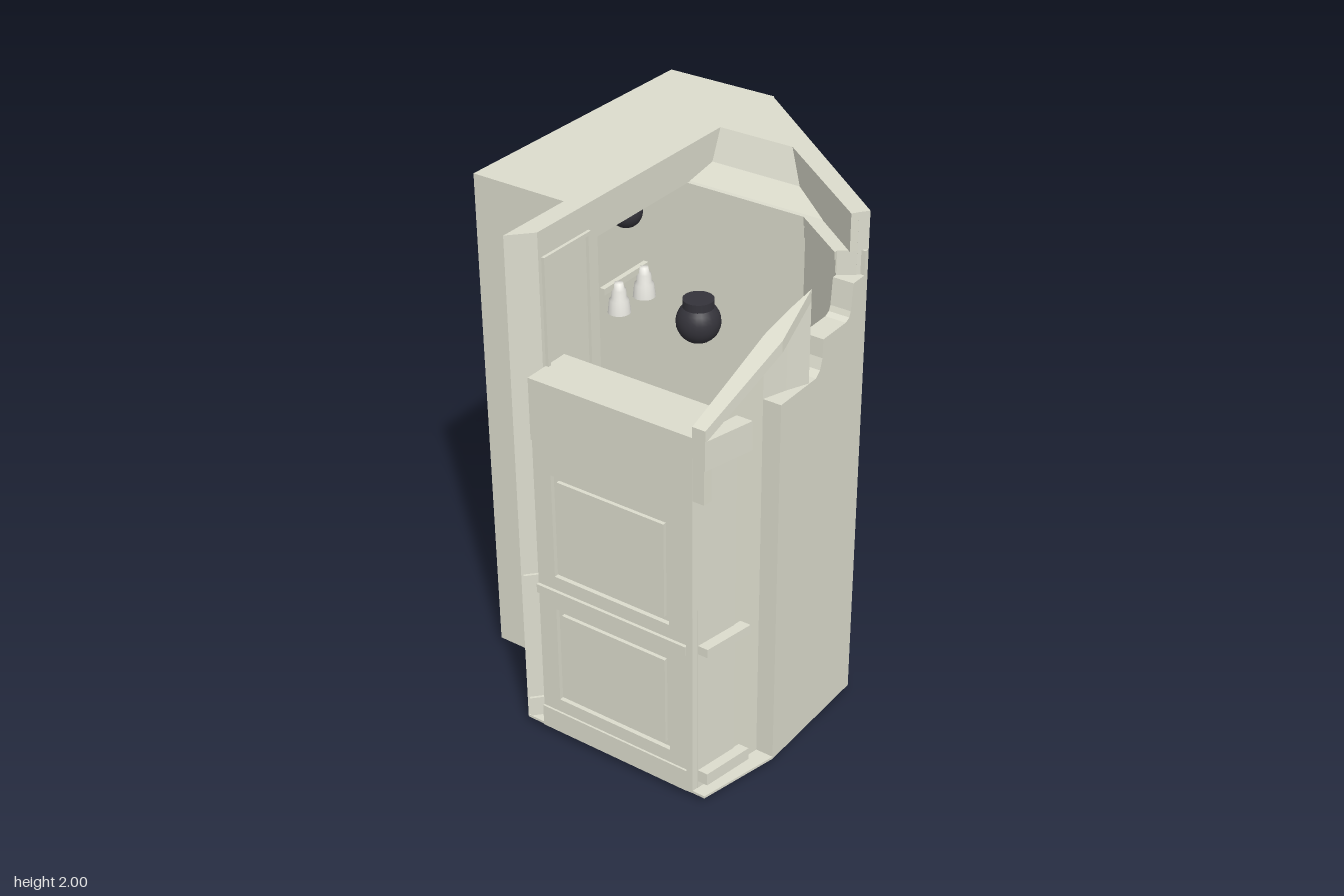
import * as THREE from 'three';

const mat = (name, color) => Object.assign(
  new THREE.MeshStandardMaterial({ color, side: THREE.DoubleSide }), { name });

export function createModel() {
  const model = new THREE.Group();
  const stone = mat('warmGrey', 0xdcdccd);
  const dark = mat('darkMetal', 0x34333a);
  const shadeMat = mat('lampWhite', 0xeeede6);

  const add = (name, geo, parent = model, m = stone) => {
    const mesh = new THREE.Mesh(geo, m);
    mesh.name = name;
    parent.add(mesh);
    return mesh;
  };
  // box given by its two corners
  const box = (name, x0, x1, y0, y1, z0, z1, parent, m) => {
    const mesh = add(name, new THREE.BoxGeometry(x1 - x0, y1 - y0, z1 - z0), parent, m);
    mesh.position.set((x0 + x1) / 2, (y0 + y1) / 2, (z0 + z1) / 2);
    return mesh;
  };
  const shapeOf = pts => new THREE.Shape(pts.map(p => new THREE.Vector2(p[0], p[1])));
  const extrude = (shape, depth) =>
    new THREE.ExtrudeGeometry(shape, { depth, bevelEnabled: false, curveSegments: 16 });
  // vertical prism over an x,z outline
  const prism = (name, pts, y0, y1, parent) => {
    const geo = extrude(shapeOf(pts.map(([x, z]) => [x, -z])), y1 - y0);
    geo.rotateX(-Math.PI / 2).translate(0, y0, 0);
    return add(name, geo, parent);
  };
  const rect = (x0, y0, x1, y1) => [[x0, y0], [x1, y0], [x1, y1], [x0, y1]];
  // flat rectangular moulding facing +z
  const frame = (name, x0, x1, y0, y1, w, parent, z = 0, d = 0.006) => {
    const s = shapeOf(rect(x0, y0, x1, y1));
    s.holes.push(shapeOf(rect(x0 + w, y0 + w, x1 - w, y1 - w)));
    return add(name, extrude(s, d).translate(0, 0, z), parent);
  };
  // surface through rows of points
  const loft = (name, rows) => {
    const n = rows[0].length, pos = [];
    for (let i = 0; i < rows.length - 1; i++) for (let j = 0; j < n - 1; j++) {
      const a = rows[i][j], b = rows[i + 1][j], c = rows[i + 1][j + 1], d = rows[i][j + 1];
      pos.push(...a, ...b, ...c, ...a, ...c, ...d);
    }
    const geo = new THREE.BufferGeometry();
    geo.setAttribute('position', new THREE.Float32BufferAttribute(pos, 3));
    geo.computeVertexNormals();
    return add(name, geo);
  };

  // Floor and the skirt hanging below it
  prism('floor', [[-0.63, -0.735], [-0.165, -0.735], [0.63, -0.1], [0.63, 0.42],
    [0.55, 0.735], [-0.24, 0.735], [-0.24, 0.42], [-0.63, 0.42]], 0.03, 0.04);
  box('floorSkirt', -0.243, -0.24, 0, 0.03, -0.735, 0.42);

  // Solid mass behind the room, stepped back near the top
  const outer = [[-0.63, -0.735], [-0.165, -0.735], [-0.19, -0.704], [0.605, -0.069]];
  prism('backWall', [...outer, [0.55, -0.03], [0.32, -0.2], [-0.63, -0.2]], 0.03, 1.86);
  prism('upperBackWall', [...outer, [0.59, -0.045], [0.14, -0.39], [-0.63, -0.39]], 1.86, 2);
  loft('cornice', [[1.862, -0.2, 0.388], [1.885, -0.34, 0.205], [2, -0.39, 0.14]]
    .map(([y, z, x]) => [[-0.165, y, z], [x, y, z]]));
  [[1.83, 1.86, 0.015], [1.78, 1.83, 0.008]].forEach(([y0, y1, d]) =>
    prism('corniceStrip', [[-0.165, -0.21], [0.32, -0.21], [0.55, -0.04], [0.55, -0.03 + d],
      [0.32, -0.2 + d], [-0.165, -0.2 + d]], y0, y1));

  // Left block: hollow alcove under a thick cap
  prism('alcoveCap', rect(-0.63, -0.39, -0.165, 0.42), 1.86, 2);
  box('alcoveSide', -0.63, -0.6, 0.03, 1.86, -0.2, 0.42);
  box('alcoveFront', -0.63, -0.2, 0.03, 1.86, 0.36, 0.42);
  prism('leftPier', [[-0.24, 0.34], [-0.165, 0.34], [-0.165, 0.655], [-0.24, 0.735]], 0.03, 2);
  [[0.03, 0.12], [0.625, 0.67]].forEach(([y0, y1]) =>
    prism('pierMoulding', [[-0.24, 0.72], [-0.228, 0.737], [-0.165, 0.67], [-0.18, 0.65]], y0, y1));
  const leftPanel = new THREE.Group();
  leftPanel.name = 'leftWallPanel';
  leftPanel.position.x = -0.165;
  leftPanel.rotation.y = Math.PI / 2;
  model.add(leftPanel);
  frame('leftWallFrame', -0.64, -0.39, 0.75, 1.905, 0.014, leftPanel, 0, 0.012);
  box('towelRail', -0.165, -0.145, 0.9, 0.93, 0.34, 0.63);

  // Front wall: a skin with two recessed openings, each holding a raised panel
  prism('frontWall', [[-0.165, 0.54], [0.54, 0.54], [0.505, 0.713], [-0.165, 0.713]], 0.03, 1.5);
  const front = shapeOf(rect(-0.165, 0.03, 0.5, 1.26));
  [[0.72, 1.14], [0.175, 0.58]].forEach(([y0, y1]) => {
    front.holes.push(shapeOf(rect(-0.09, y0, 0.4, y1)));
    box('frontPanel', -0.068, 0.378, y0 + 0.022, y1 - 0.022, 0.71, 0.727);
  });
  add('frontSkin', extrude(front, 0.018).translate(0, 0, 0.712));
  box('frontLedge', -0.165, 0.5, 1.26, 1.5, 0.7, 0.737);
  box('frontChairRail', -0.165, 0.475, 0.63, 0.665, 0.72, 0.742);
  box('frontBaseboard', -0.165, 0.475, 0.03, 0.12, 0.72, 0.738);
  box('frontStile', 0.475, 0.5, 0.03, 1.26, 0.72, 0.736);

  // Right wall with its stepped top
  const stepped = [[-0.1, 0.03], [0.42, 0.03], [0.42, 1.51], [0.21, 1.51], [0.185, 1.53], [0.172, 1.57],
    [0.17, 1.64], [0.03, 1.64], [0.008, 1.65], [0, 1.67], [-0.01, 1.77], [-0.08, 1.77], [-0.08, 1.86], [-0.1, 1.86]];
  add('rightWall', extrude(shapeOf(stepped.map(([z, y]) => [-z, y])), 0.08)
    .rotateY(Math.PI / 2).translate(0.55, 0, 0));

  // Curved front corner under a sloping plank
  const curve = [[0.5, 0.735], [0.53, 0.58], [0.56, 0.42], [0.592, 0.33], [0.628, 0.25]];
  const slope = z => 1.54 + (0.735 - z) * 0.66;
  loft('curvedCorner', curve.map(([x, z]) => [[x, 0.03, z], [x, slope(z) - 0.01, z]]));
  const plank = prism('slopingPlank', [...curve, [0.63, 0.42], [0.55, 0.735]], -0.045, 0);
  const pp = plank.geometry.attributes.position;
  for (let i = 0; i < pp.count; i++) pp.setY(i, pp.getY(i) + slope(pp.getZ(i)));
  plank.geometry.computeVertexNormals();
  [[0.07, 0.12], [0.63, 0.665]].forEach(([y0, y1]) =>
    prism('cornerMoulding', [[0.505, 0.71], [0.545, 0.71], [0.585, 0.51], [0.535, 0.51]], y0, y1));
  prism('cornerCapital', [[0.5, 0.735], [0.55, 0.735], [0.6, 0.54], [0.54, 0.54]], 1.39, 1.5);
  prism('cornerBlock', [[0.5, 0.735], [0.545, 0.735], [0.55, 0.7], [0.5, 0.7]], 1.26, 1.39);

  // Diagonal wall: local x runs along it, local z points outwards
  const diagonal = new THREE.Group();
  diagonal.name = 'diagonalWall';
  diagonal.position.set(0.63, 0, -0.1);
  diagonal.rotation.y = Math.atan2(0.624, -0.781);
  model.add(diagonal);
  const skin = shapeOf(rect(0, 0.03, 1.017, 2));
  skin.holes.push(shapeOf(rect(0.215, 0.04, 0.775, 1.4)));
  add('diagonalSkin', extrude(skin, 0.04).translate(0, 0, -0.04), diagonal);
  box('door', 0.225, 0.75, 0.04, 1.365, -0.04, -0.014, diagonal);
  [[0.17, 0.55], [0.64, 0.77], [0.83, 1.28]].forEach(([y0, y1]) =>
    frame('doorPanelFrame', 0.3, 0.67, y0, y1, 0.012, diagonal, -0.014, 0.003));
  frame('doorSurround', 0.195, 0.795, 0.03, 1.42, 0.02, diagonal, 0, 0.004);
  frame('diagonalSidePanel', 0.08, 0.18, 0.09, 1.4, 0.008, diagonal, 0, 0.003);
  box('handlePlate', 0.226, 0.25, 0.55, 0.68, -0.014, -0.006, diagonal, dark);
  [0.645, 0.595].forEach(y =>
    add('doorKnob', new THREE.SphereGeometry(0.02, 16, 12), diagonal, dark).position.set(0.24, y, -0.01));

  // Rear wall panelling
  const rear = new THREE.Group();
  rear.name = 'rearPanelling';
  rear.position.z = -0.735;
  rear.rotation.y = Math.PI;
  model.add(rear);
  [[0.76, 1.87], [0.14, 0.55]].forEach(([y0, y1]) => {
    frame('rearPanelOuter', 0.21, 0.51, y0, y1, 0.015, rear);
    frame('rearPanelInner', 0.25, 0.47, y0 + 0.045, y1 - 0.045, 0.01, rear, 0, 0.004);
  });
  box('rearChairRail', 0.17, 0.55, 0.63, 0.665, 0, 0.008, rear);
  box('rearBaseboard', 0.165, 0.63, 0.03, 0.12, 0, 0.005, rear);
  box('rearTopRail', 0.165, 0.63, 1.92, 2, 0, 0.005, rear);
  box('rearStrip', 0.565, 0.585, 1.4, 1.92, 0, 0.006, rear);

  // Toilet backing onto the front wall
  const toilet = new THREE.Group();
  toilet.name = 'toilet';
  toilet.position.set(0.16, 0, 0.31);
  model.add(toilet);
  const oval = (hw, z0, z1, r) => {
    const s = new THREE.Shape();
    s.moveTo(-hw, -z1);
    s.lineTo(hw, -z1);
    s.lineTo(hw, -z0 - r);
    s.quadraticCurveTo(hw, -z0, hw - r, -z0);
    s.lineTo(-hw + r, -z0);
    s.quadraticCurveTo(-hw, -z0, -hw, -z0 - r);
    return s;
  };
  const slab = (name, s, y0, y1) =>
    add(name, extrude(s, y1 - y0).rotateX(-Math.PI / 2).translate(0, y0, 0), toilet);
  slab('toiletBase', oval(0.1, -0.06, 0.2, 0.08), 0.04, 0.3);
  slab('toiletBowl', oval(0.145, -0.15, 0.2, 0.12), 0.26, 0.38);
  const seat = oval(0.153, -0.165, 0.19, 0.14);
  seat.holes.push(new THREE.Path().absellipse(0, 0, 0.118, 0.15, 0, Math.PI * 2));
  slab('toiletSeat', seat, 0.385, 0.41);
  box('cistern', -0.15, 0.15, 0.36, 0.72, 0.2, 0.23, toilet);
  box('cisternLid', -0.157, 0.157, 0.72, 0.745, 0.193, 0.23, toilet);
  box('flushLever', -0.13, -0.09, 0.66, 0.675, 0.17, 0.2, toilet);

  // Dark globe lamps
  [[0.13, 1.555, 0.17, 0.079], [-0.3, 1.785, 0, 0.06]].forEach(([x, y, z, r]) => {
    const lamp = new THREE.Group();
    lamp.name = 'globeLamp';
    lamp.position.set(x, y, z);
    model.add(lamp);
    add('globe', new THREE.SphereGeometry(r, 24, 16), lamp, dark);
    add('globeNeck', new THREE.CylinderGeometry(r * 0.7, r * 0.7, 0.035, 24), lamp, dark).position.y = r - 0.01;
  });

  // Pair of pale wall lamps in the alcove
  const shade = [[0, 0.055], [0.016, 0.055], [0.02, 0.035], [0.026, 0.03], [0.028, 0], [0.036, -0.01], [0.042, -0.06]]
    .map(p => new THREE.Vector2(...p)).reverse();
  [0.13, -0.02].forEach(z =>
    add('lampShade', new THREE.LatheGeometry(shade, 16), model, shadeMat).position.set(-0.24, 1.52, z));
  box('lampBar', -0.27, -0.25, 1.55, 1.575, -0.06, 0.2);

  return model;
}
